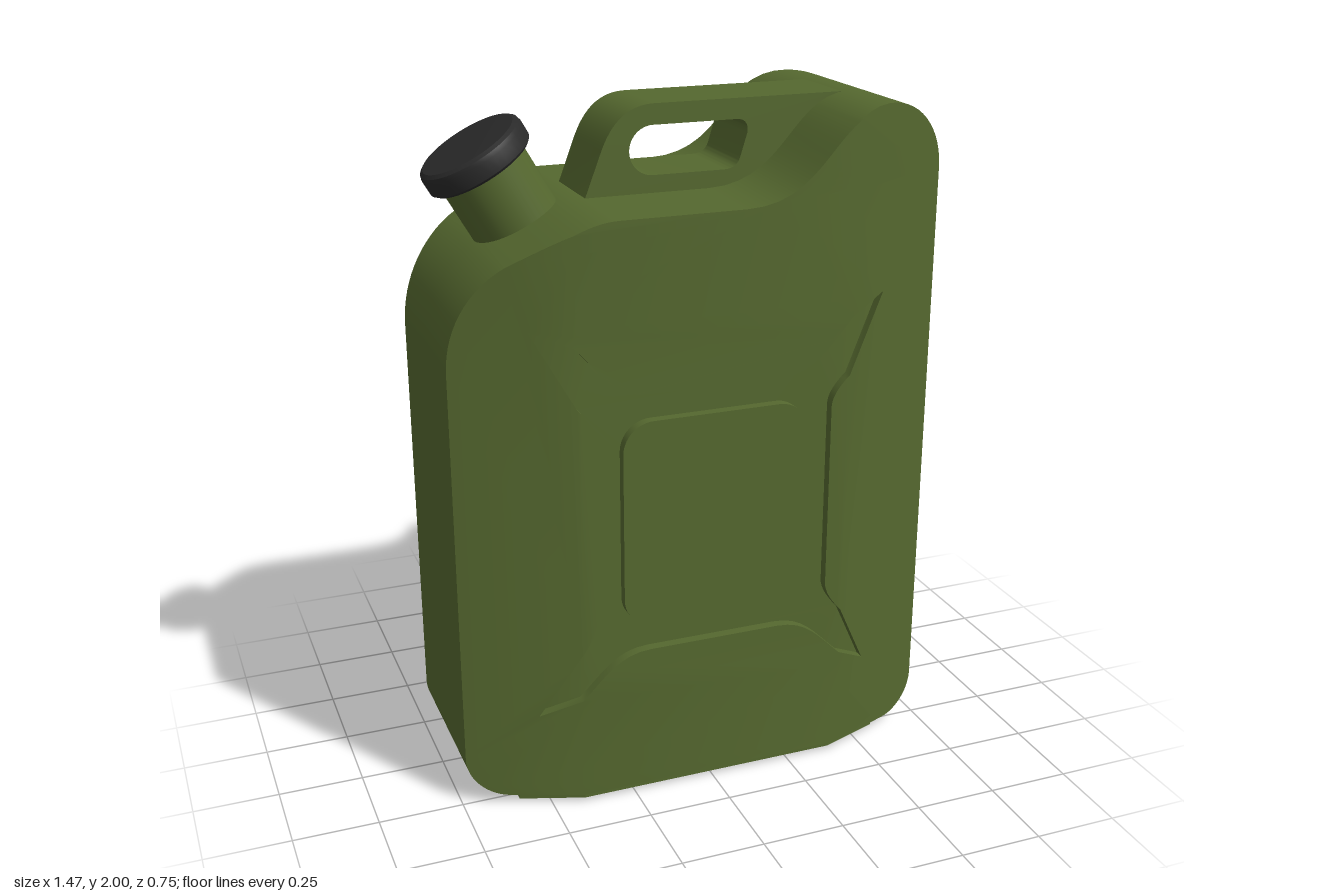
import * as THREE from 'three';
import { toCreasedNormals } from 'three/addons/utils/BufferGeometryUtils.js';

const green = new THREE.MeshStandardMaterial({ color: 0x55682f });
const black = new THREE.MeshStandardMaterial({ color: 0x2a2a2a });

const CREASE = 0.41; // x where the flat faces begin to taper
const depth = x => 0.375 - Math.max(0, Math.abs(x) - CREASE) * 0.385;
const vec = list => list.map(([x, y]) => new THREE.Vector2(x, y));

// Points of a closed outline without repeats, with extra points on the taper creases
function outline(points) {
  const out = [];
  points.forEach((a, i) => {
    const b = points[(i + 1) % points.length];
    if (a.distanceTo(b) < 1e-5) return;
    out.push(a);
    [-CREASE, CREASE]
      .map(c => (c - a.x) / (b.x - a.x))
      .filter(t => t > 1e-4 && t < 1 - 1e-4)
      .sort((s, t) => s - t)
      .forEach(t => out.push(a.clone().lerp(b, t)));
  });
  return out;
}

// Part of a convex polygon lying between two x limits
function strip(poly, lo, hi) {
  for (const [c, s] of [[lo, 1], [hi, -1]]) {
    const out = [];
    poly.forEach((a, i) => {
      const b = poly[(i + 1) % poly.length];
      const da = (a.x - c) * s, db = (b.x - c) * s;
      if (da >= 0) out.push(a);
      if (da * db < 0) out.push(a.clone().lerp(b, da / (da - db)));
    });
    poly = out;
  }
  return poly;
}

// Collects polygons on the front half and their mirror images on the back half
class MirroredSurface {
  positions = [];
  polygon(p) {
    for (let i = 1; i < p.length - 1; i++) {
      const t = [p[0], p[i], p[i + 1]];
      const area = new THREE.Triangle(...t).getArea();
      if (area < 1e-8) continue;
      t.forEach(v => this.positions.push(v.x, v.y, v.z));
      t.reverse().forEach(v => this.positions.push(v.x, v.y, -v.z));
    }
  }
  // Sheet following the tapered face, sunk by an inset
  face(contour, holes, inset) {
    const all = [contour, ...holes].flat();
    for (const tri of THREE.ShapeUtils.triangulateShape([...contour], holes.map(h => [...h]))) {
      const t = tri.map(i => all[i]);
      if (THREE.ShapeUtils.area(t) < 0) t.reverse();
      for (const [lo, hi] of [[-2, -CREASE], [-CREASE, CREASE], [CREASE, 2]])
        this.polygon(strip(t, lo, hi).map(v => new THREE.Vector3(v.x, v.y, depth(v.x) - inset)));
    }
  }
  // Band along an outline between two depths
  wall(contour, low, high) {
    contour.forEach((a, i) => {
      const b = contour[(i + 1) % contour.length];
      this.polygon([[a, low], [b, low], [b, high], [a, high]]
        .map(([v, z]) => new THREE.Vector3(v.x, v.y, z(v.x))));
    });
  }
  geometry() {
    const g = new THREE.BufferGeometry();
    g.setAttribute('position', new THREE.Float32BufferAttribute(this.positions, 3));
    return toCreasedNormals(g, 0.6);
  }
}

function mesh(name, geometry, material = green) {
  const m = new THREE.Mesh(geometry, material);
  m.name = name;
  return m;
}

function bodyOutline() {
  const s = new THREE.Shape();
  s.moveTo(-0.615, 0.03);
  s.lineTo(0.615, 0.03);
  s.absarc(0.615, 0.15, 0.12, -Math.PI / 2, 0);
  s.lineTo(0.735, 1.79);
  s.bezierCurveTo(0.735, 1.91, 0.64, 2, 0.52, 2);
  s.bezierCurveTo(0.33, 2, 0.33, 1.75, 0.08, 1.75);
  s.lineTo(-0.28, 1.75);
  s.bezierCurveTo(-0.36, 1.75, -0.42, 1.72, -0.58, 1.635);
  s.bezierCurveTo(-0.68, 1.57, -0.735, 1.46, -0.735, 1.34);
  s.lineTo(-0.735, 0.15);
  s.absarc(-0.615, 0.15, 0.12, Math.PI, Math.PI * 1.5);
  return outline(s.getPoints(14));
}

function starOutline() {
  const s = new THREE.Shape();
  s.moveTo(-0.2, 0.475);
  s.lineTo(0.2, 0.475);
  s.bezierCurveTo(0.3, 0.475, 0.34, 0.41, 0.41, 0.345);
  s.lineTo(0.51, 0.29);
  s.lineTo(0.41, 0.49);
  s.quadraticCurveTo(0.355, 0.55, 0.355, 0.59);
  s.lineTo(0.355, 1.15);
  s.quadraticCurveTo(0.355, 1.19, 0.41, 1.24);
  s.lineTo(0.53, 1.465);
  s.lineTo(0.41, 1.41);
  s.bezierCurveTo(0.34, 1.33, 0.3, 1.26, 0.2, 1.26);
  s.lineTo(-0.2, 1.26);
  s.bezierCurveTo(-0.3, 1.26, -0.34, 1.33, -0.41, 1.41);
  s.lineTo(-0.53, 1.46);
  s.lineTo(-0.41, 1.24);
  s.quadraticCurveTo(-0.36, 1.19, -0.36, 1.15);
  s.lineTo(-0.36, 0.59);
  s.quadraticCurveTo(-0.36, 0.55, -0.41, 0.49);
  s.lineTo(-0.53, 0.295);
  s.lineTo(-0.41, 0.345);
  s.bezierCurveTo(-0.34, 0.41, -0.3, 0.475, -0.2, 0.475);
  return outline(s.getPoints(8));
}

function squareOutline() {
  const s = new THREE.Shape(), x = 0.19, lo = 0.645, hi = 1.09, r = 0.09, q = Math.PI / 2;
  s.absarc(x, lo, r, -q, 0);
  s.absarc(x, hi, r, 0, q);
  s.absarc(-x, hi, r, q, 2 * q);
  s.absarc(-x, lo, r, 2 * q, 3 * q);
  return outline(s.getPoints(8));
}

// Tapered can with a star-shaped recess and a raised centre panel on both faces
function buildBody() {
  const shell = bodyOutline(), star = starOutline(), square = squareOutline();
  const sunk = x => depth(x) - 0.03;
  const surface = new MirroredSurface();
  surface.wall(shell, () => 0, depth);
  surface.face(shell, [star], 0);
  surface.wall([...star].reverse(), sunk, depth);
  surface.face(star, [square], 0.03);
  surface.wall(square, sunk, depth);
  surface.face(square, [], 0);
  return mesh('body', surface.geometry());
}

// Flat bar with a rounded grip opening
function buildHandle() {
  const s = new THREE.Shape();
  s.moveTo(-0.29, 1.74);
  s.lineTo(0.49, 1.74);
  s.lineTo(0.49, 1.999);
  s.lineTo(-0.08, 1.999);
  s.bezierCurveTo(-0.17, 1.999, -0.21, 1.94, -0.235, 1.88);
  s.lineTo(-0.285, 1.75);
  const h = new THREE.Path();
  h.absarc(-0.085, 1.87, 0.07, Math.PI / 2, Math.PI * 1.5);
  h.lineTo(0.13, 1.8);
  h.quadraticCurveTo(0.17, 1.8, 0.18, 1.835);
  h.lineTo(0.2, 1.9);
  h.quadraticCurveTo(0.205, 1.94, 0.165, 1.94);
  s.holes.push(h);
  const g = new THREE.ExtrudeGeometry(s, { depth: 0.24, bevelEnabled: false, curveSegments: 12 });
  g.translate(0, 0, -0.145);
  return mesh('handle', toCreasedNormals(g, 0.6));
}

// Thin eight-sided rim under the can
function buildFoot() {
  const ring = (x, z, cx, cz) => vec([[cx, -z], [x, -cz], [x, cz], [cx, z], [-cx, z], [-x, cz], [-x, -cz], [-cx, -z]]);
  const s = new THREE.Shape(ring(0.585, 0.345, 0.4, 0.28));
  s.holes.push(new THREE.Path(ring(0.555, 0.315, 0.39, 0.257).reverse()));
  const g = new THREE.ExtrudeGeometry(s, { depth: 0.035, bevelEnabled: false });
  g.rotateX(-Math.PI / 2);
  return mesh('footRim', g);
}

// Tilted neck with a screw cap
function buildSpout() {
  const spout = new THREE.Group();
  spout.name = 'spout';
  const neck = new THREE.CylinderGeometry(0.128, 0.128, 0.42, 40);
  neck.translate(0, -0.19, 0);
  spout.add(mesh('neck', neck));
  const profile = vec([[0, 0], [0.15, 0], [0.158, 0.008], [0.158, 0.05], [0.154, 0.063], [0.143, 0.071], [0, 0.073]]);
  spout.add(mesh('cap', toCreasedNormals(new THREE.LatheGeometry(profile, 40), 0.6), black));
  spout.position.set(-0.552, 1.843, 0);
  spout.rotation.z = Math.PI / 6;
  return spout;
}

export function createModel() {
  const model = new THREE.Group();
  model.name = 'fuelCan';
  model.add(buildBody(), buildHandle(), buildFoot(), buildSpout());
  return model;
}
